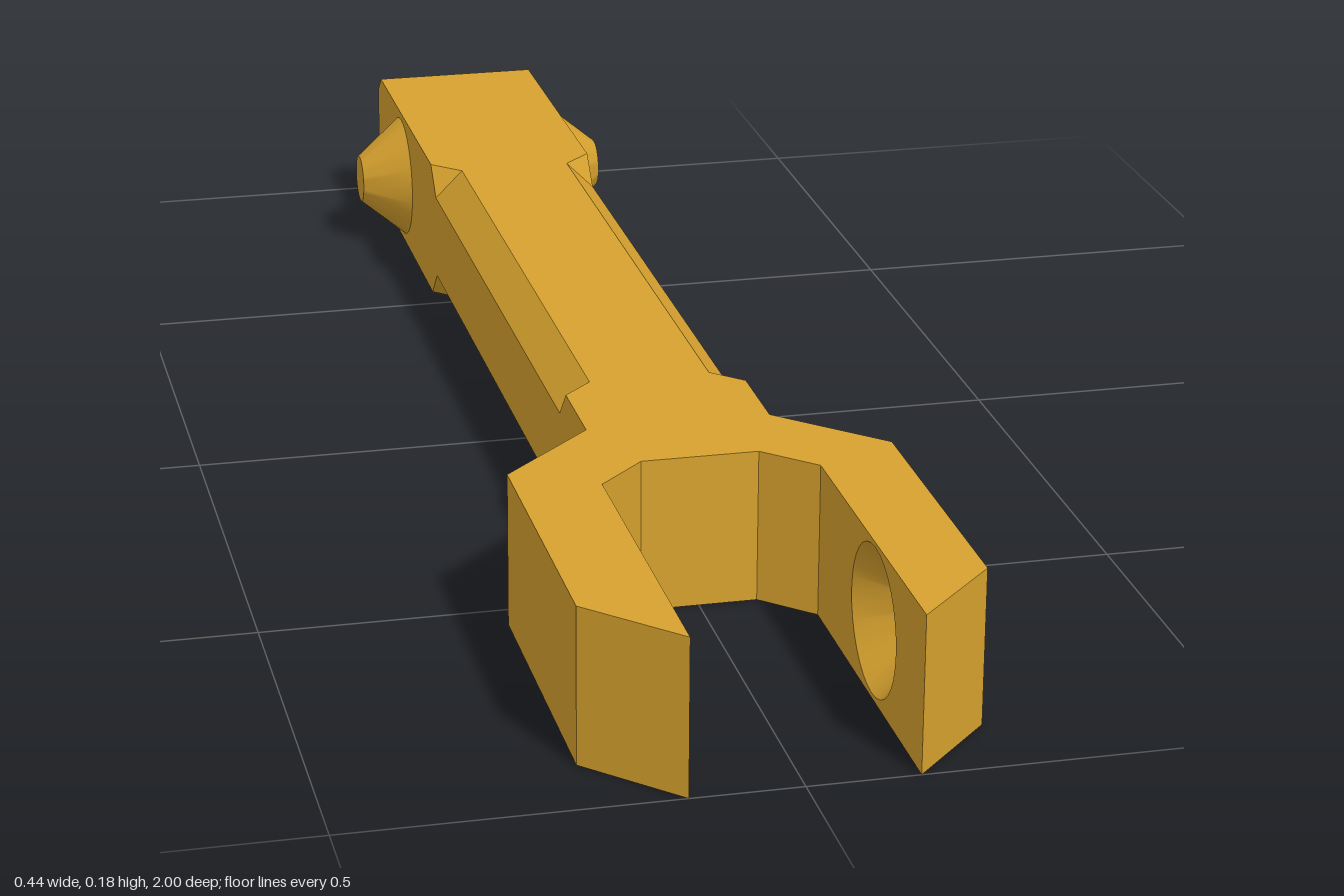
import * as THREE from 'three';
import { toCreasedNormals } from 'three/addons/utils/BufferGeometryUtils.js';

const H = 0.183;          // overall thickness
const MID = H / 2;
const W = 0.108;          // half width of the shaft
const GAP = 0.125;        // half width of the fork slot
const PIN_R = 0.082, TIP_R = 0.032;

// Flat-shaded geometry from a list of triangles, skipping collapsed ones
function flatGeometry(triangles) {
  const points = triangles
    .filter(([a, b, c]) => new THREE.Triangle(a, b, c).getArea() > 1e-7)
    .flat();
  const geometry = new THREE.BufferGeometry().setFromPoints(points);
  geometry.computeVertexNormals();
  return geometry;
}

// Shaft: eight-cornered cross-sections joined along z
function shaftGeometry() {
  // z, half width, half height, chamfer
  const sections = [
    [-1, 0.075, 0.031, 0],
    [-0.965, W, 0.068, 0],
    [-0.94, W, MID, 0],
    [-0.545, W, MID, 0],
    [-0.51, W, MID, 0.036],
    [0.285, W, MID, 0.036],
    [0.32, W, MID, 0],
    [0.43, W, MID, 0],
  ];
  const rings = sections.map(([z, w, h, c]) => [
    [w, -h + c], [w, h - c], [w - c, h], [-w + c, h],
    [-w, h - c], [-w, -h + c], [-w + c, -h], [w - c, -h],
  ].map(([x, y]) => new THREE.Vector3(x, MID + y, z)));

  const triangles = [];
  for (let k = 0; k < rings.length - 1; k++) {
    for (let i = 0; i < 8; i++) {
      const j = (i + 1) % 8;
      const [a, b, c, d] = [rings[k][i], rings[k][j], rings[k + 1][j], rings[k + 1][i]];
      triangles.push([a, b, c], [a, c, d]);
    }
  }
  for (let i = 1; i < 7; i++) triangles.push([rings[0][0], rings[0][i + 1], rings[0][i]]);
  return flatGeometry(triangles);
}

// Fork outline extruded upwards, leaving the inner arm faces open for the sockets
function forkGeometry() {
  const half = [[W, 0.43], [0.222, 0.54], [0.222, 0.9], [GAP, 1], [GAP, 0.59], [0.068, 0.535]];
  const outline = [...half, ...half.map(([x, z]) => [-x, z]).reverse()];
  const shape = new THREE.Shape(outline.map(([x, z]) => new THREE.Vector2(x, z)));
  const solid = new THREE.ExtrudeGeometry(shape, { depth: H, bevelEnabled: false });
  solid.rotateX(Math.PI / 2).translate(0, H, 0);
  const source = solid.index ? solid.toNonIndexed() : solid;
  const position = source.attributes.position;
  const triangles = [];
  for (let i = 0; i < position.count; i += 3) {
    const corners = [0, 1, 2].map((n) => new THREE.Vector3().fromBufferAttribute(position, i + n));
    const onInnerFace = corners.every((p) => Math.abs(Math.abs(p.x) - GAP) < 1e-4)
      && corners.every((p) => p.x * corners[0].x > 0);
    if (!onInnerFace) triangles.push(corners);
  }
  return flatGeometry(triangles);
}

// Truncated cone; a negative height makes a recess. direction is +1 or -1 along x
function coneGeometry(radius, height, direction) {
  const profile = [[radius, 0], [TIP_R, height], [0, height]]
    .map(([r, y]) => new THREE.Vector2(r, y));
  const geometry = toCreasedNormals(new THREE.LatheGeometry(profile, 32), 0.5);
  return geometry.rotateZ(-direction * Math.PI / 2);
}

// Inner arm face with a round opening
function socketFaceGeometry(side, socketZ, radius) {
  const shape = new THREE.Shape([[0.59, 0], [1, 0], [1, H], [0.59, H]]
    .map(([z, y]) => new THREE.Vector2(side * z, y)));
  const hole = new THREE.Path();
  hole.absarc(side * socketZ, MID, radius, 0, Math.PI * 2, true);
  shape.holes.push(hole);
  return new THREE.ShapeGeometry(shape, 16)
    .rotateY(-side * Math.PI / 2)
    .translate(side * GAP, 0, 0);
}

export function createModel() {
  const model = new THREE.Group();
  model.name = 'forkedLink';
  const gold = new THREE.MeshStandardMaterial({ color: 0xd6a12e });
  gold.name = 'gold';

  const add = (name, geometry, x = 0, y = 0, z = 0) => {
    const mesh = new THREE.Mesh(geometry, gold);
    mesh.name = name;
    mesh.position.set(x, y, z);
    model.add(mesh);
  };

  add('shaft', shaftGeometry());
  add('fork', forkGeometry());

  const socketZ = 0.81, socketR = 0.086;
  for (const side of [1, -1]) {
    const label = side > 0 ? 'left' : 'right';
    // Conical pins at the back end
    add(`${label}Pin`, coneGeometry(PIN_R, 0.06, side), side * W, MID, -0.775);
    // Matching sockets inside the fork
    add(`${label}SocketFace`, socketFaceGeometry(side, socketZ, socketR));
    add(`${label}Socket`, coneGeometry(socketR, -0.06, -side), side * GAP, MID, socketZ);
  }
  return model;
}
